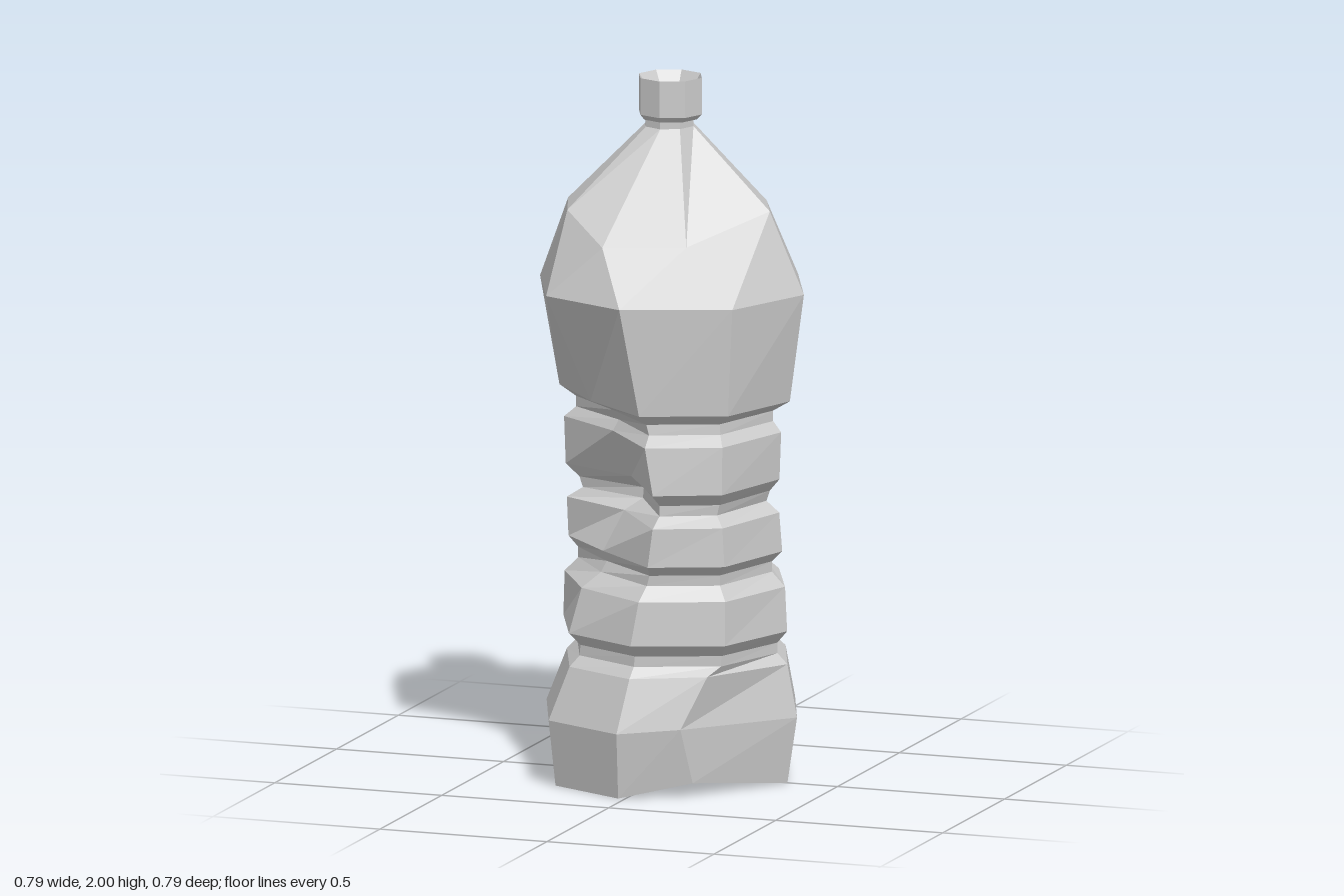
import * as THREE from 'three';

const SIDES = 8;
const bump = (y, centre, width) => Math.exp(-(((y - centre) / width) ** 2));

// Eight-sided ring; corner 0 is at +x, corner 2 at +z
function ring([y, rx, rz, cx, cz]) {
  return Array.from({ length: SIDES }, (_, k) => {
    const a = (k / SIDES) * Math.PI * 2;
    return new THREE.Vector3(cx + rx * Math.cos(a), y, cz + rz * Math.sin(a));
  });
}

// Dents of the squeezed body: [corner, depth, height, spread]; negative depth bulges
const DENTS = [
  [3, 0.2, 0.86, 0.25],
  [7, 0.12, 0.9, 0.23],
  [5, 0.07, 0.43, 0.13],
  [1, -0.03, 0.8, 0.35],
  [5, -0.025, 0.85, 0.3],
];

function crush(points) {
  for (const [k, depth, height, spread] of DENTS) {
    const p = points[k];
    const r = Math.hypot(p.x, p.z);
    const s = (r - depth * bump(p.y, height, spread)) / r;
    p.x *= s;
    p.z *= s;
  }
  // front crease leans sideways at the waist
  points[2].x += 0.09 * bump(points[2].y, 0.83, 0.3) - 0.02;
  return points;
}

// Faceted skin over a stack of rings, closed with fans at both ends
function loft(name, rings, material) {
  const pos = [];
  const tri = (...ps) => ps.forEach((p) => pos.push(p.x, p.y, p.z));
  for (let i = 0; i < rings.length - 1; i++) {
    for (let k = 0; k < SIDES; k++) {
      const n = (k + 1) % SIDES;
      const [a, b, c, d] = [rings[i][k], rings[i][n], rings[i + 1][n], rings[i + 1][k]];
      tri(a, d, b);
      tri(b, d, c);
    }
  }
  const first = rings[0];
  const last = rings[rings.length - 1];
  // fans start from the corner opposite the dented base corner
  for (let j = 1; j < SIDES - 1; j++) {
    const k = (5 + j) % SIDES;
    const n = (k + 1) % SIDES;
    tri(first[5], first[k], first[n]);
    tri(last[5], last[n], last[k]);
  }
  const geometry = new THREE.BufferGeometry();
  geometry.setAttribute('position', new THREE.Float32BufferAttribute(pos, 3));
  geometry.computeVertexNormals();
  const mesh = new THREE.Mesh(geometry, material);
  mesh.name = name;
  return mesh;
}

export function createModel() {
  const group = new THREE.Group();
  group.name = 'crushedBottle';
  const plastic = new THREE.MeshStandardMaterial({ color: 0xcccccc });
  plastic.name = 'light grey plastic';

  // Base, ribs and chest: height, x radius, z radius, x centre, z centre
  const body = [
    [0, 0.35, 0.37, 0, 0],
    [0.19, 0.375, 0.397, 0.005, 0.003],
    [0.34, 0.33, 0.35, 0.02, 0],
    [0.37, 0.3, 0.32, 0.02, 0],
    [0.4, 0.3, 0.32, 0.02, 0],
    [0.435, 0.335, 0.352, 0.015, 0.002],
    [0.56, 0.33, 0.348, 0.01, -0.008],
    [0.6, 0.29, 0.31, 0.01, -0.01],
    [0.63, 0.29, 0.31, 0.01, -0.01],
    [0.66, 0.32, 0.347, 0.01, -0.012],
    [0.77, 0.318, 0.345, 0.002, -0.015],
    [0.8, 0.275, 0.31, 0.005, -0.02],
    [0.83, 0.285, 0.31, 0.005, -0.02],
    [0.865, 0.32, 0.347, 0, -0.017],
    [1.0, 0.325, 0.347, 0, -0.017],
    [1.03, 0.295, 0.31, 0.005, -0.02],
    [1.06, 0.295, 0.31, 0.005, -0.02],
    [1.09, 0.345, 0.35, 0.005, -0.02],
    [1.4, 0.395, 0.38, 0, -0.012],
  ].map((r) => crush(ring(r)));

  // Pushed-in front corner of the base
  body[0][1].set(0.17, 0.04, 0.28);
  body[1][1].set(0.15, 0.2, 0.325);
  body[2][1].set(0.21, 0.345, 0.27);

  // Uneven shoulder
  const shoulder = [
    [0.29, 1.63, -0.02], [0.11, 1.55, 0.17], [-0.11, 1.55, 0.255], [-0.235, 1.64, 0.2],
    [-0.31, 1.63, -0.01], [-0.235, 1.63, -0.19], [-0.03, 1.64, -0.215], [0.21, 1.62, -0.21],
  ].map((p) => new THREE.Vector3(...p));

  // Neck
  const neck = [1.86, 1.89].map((y) => ring([y, 0.072, 0.075, -0.008, -0.013]));
  group.add(loft('bottleBody', [...body, shoulder, ...neck], plastic));

  // Cap with a shallow recess on top
  const cap = [
    [1.88, 0.08, 0.078, -0.006, -0.013],
    [1.895, 0.094, 0.09, -0.005, -0.013],
    [2, 0.094, 0.09, -0.005, -0.013],
    [1.96, 0.068, 0.065, -0.004, -0.013],
  ].map(ring);
  group.add(loft('cap', cap, plastic));

  return group;
}
